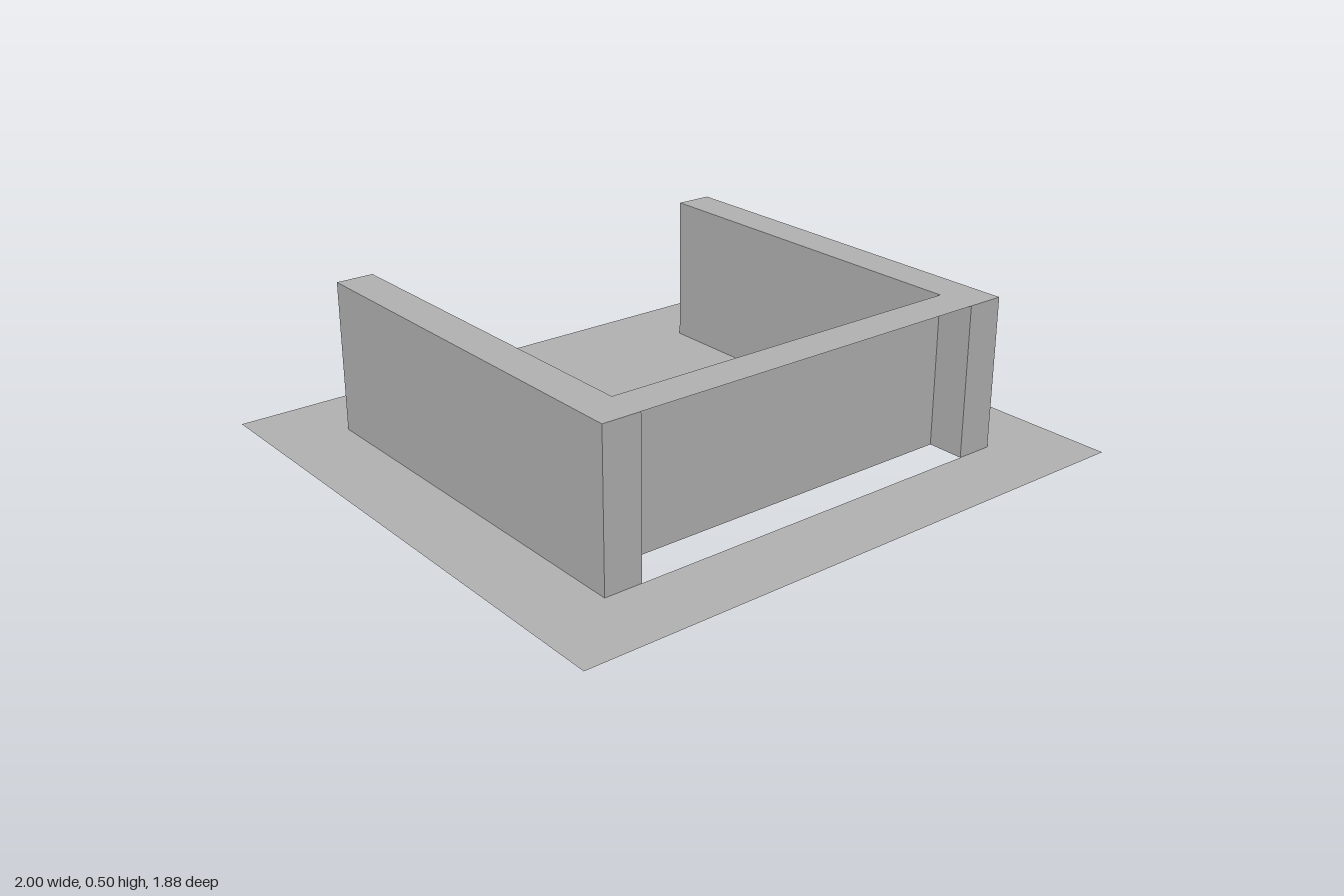
import * as THREE from 'three';

const grey = new THREE.MeshStandardMaterial({ color: 0xb2b2b2, side: THREE.DoubleSide });
grey.name = 'grey';

const HEIGHT = 0.5;
const OUT_X = 0.75, IN_X = 0.625;       // outer and inner faces of the side walls
const END_Z = 0.6875, IN_Z = 0.5625;    // wall ends and inner face of the front wall

// Plan outline of the U-shaped wall, as [x, -z]
const uOutline = [
  [-OUT_X, -END_Z], [OUT_X, -END_Z], [OUT_X, END_Z], [IN_X, END_Z],
  [IN_X, -IN_Z], [-IN_X, -IN_Z], [-IN_X, END_Z], [-OUT_X, END_Z],
].map(([x, y]) => new THREE.Vector2(x, y));

export function createModel() {
  const model = new THREE.Group();
  model.name = 'walledPlatform';

  const add = (name, geometry) => {
    const mesh = new THREE.Mesh(geometry, grey);
    mesh.name = name;
    model.add(mesh);
    return mesh;
  };

  // Upright panel centred on (x, z), its front turned by angle about y
  const panel = (name, width, x, z, angle) => {
    const mesh = add(name, new THREE.PlaneGeometry(width, HEIGHT));
    mesh.position.set(x, HEIGHT / 2, z);
    mesh.rotation.y = angle;
  };

  // Flat floor sheet, open beneath the walls
  const floor = new THREE.Shape([[-1, -0.9375], [1, -0.9375], [1, 0.9375], [-1, 0.9375]]
    .map(([x, y]) => new THREE.Vector2(x, y)));
  floor.holes.push(new THREE.Path(uOutline));
  add('floor', new THREE.ShapeGeometry(floor).rotateX(-Math.PI / 2));

  // Continuous top of the walls
  add('wallTop', new THREE.ShapeGeometry(new THREE.Shape(uOutline))
    .rotateX(-Math.PI / 2).translate(0, HEIGHT, 0));

  // Two hollow side walls, closed all round and open below
  for (const [side, s] of [['left', 1], ['right', -1]]) {
    const midX = s * (OUT_X + IN_X) / 2;
    const thickness = OUT_X - IN_X;
    panel(`${side}WallOuter`, 2 * END_Z, s * OUT_X, 0, s * Math.PI / 2);
    panel(`${side}WallInner`, 2 * END_Z, s * IN_X, 0, -s * Math.PI / 2);
    panel(`${side}WallFrontEnd`, thickness, midX, END_Z, 0);
    panel(`${side}WallBackEnd`, thickness, midX, -END_Z, Math.PI);
  }

  // Recessed front wall, open towards the front
  panel('frontWallInner', 2 * IN_X, 0, IN_Z, Math.PI);

  return model;
}
